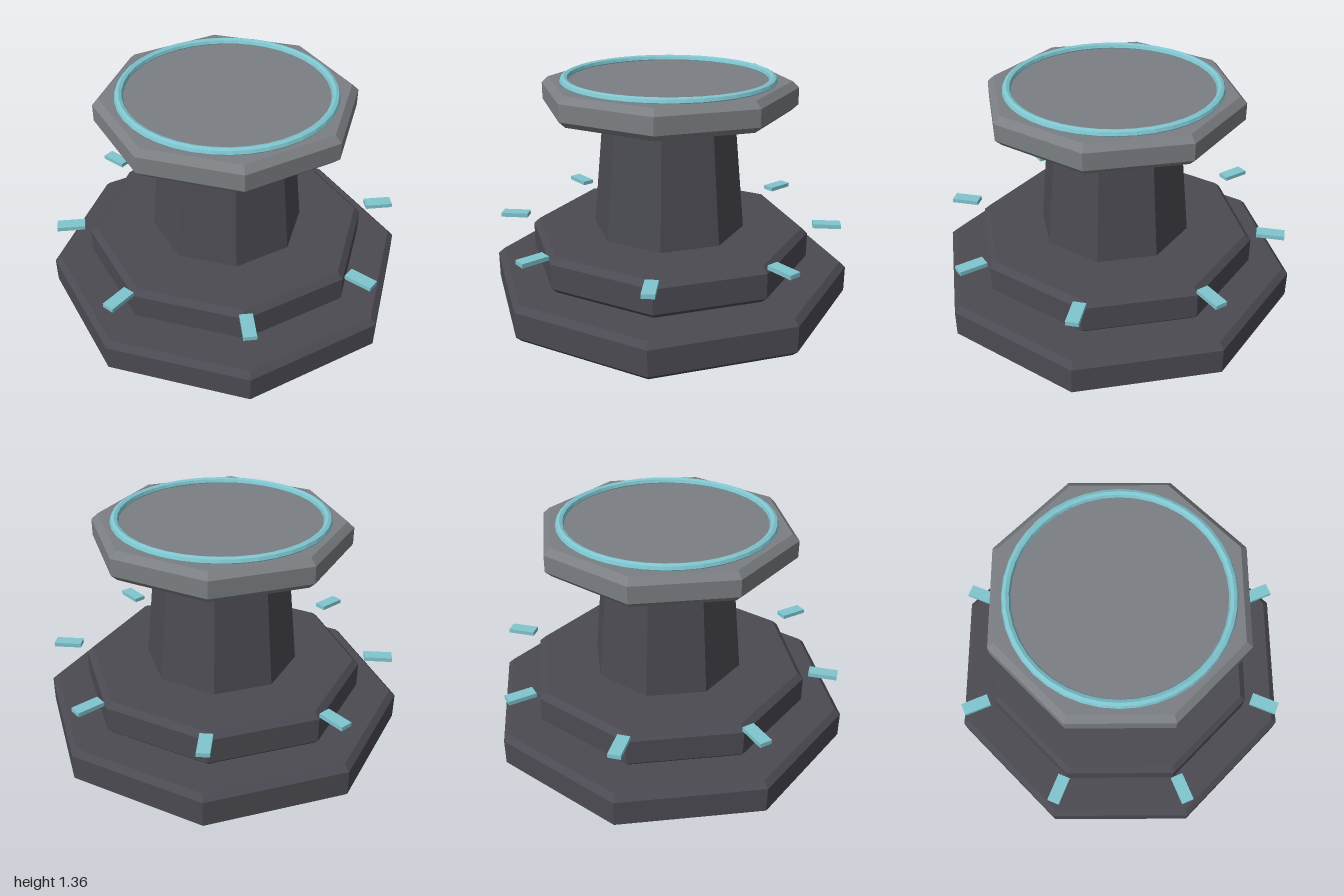
import * as THREE from 'three';

const material = (name, color) => {
  const m = new THREE.MeshStandardMaterial({ color, flatShading: true });
  m.name = name;
  return m;
};

// Octagonal solid with flat sides on the axes; profile is [apothem, y] from bottom to top
function octagon(name, profile, mat) {
  const k = 1 / Math.cos(Math.PI / 8);
  const points = profile.map(([a, y]) => new THREE.Vector2(a * k, y));
  const mesh = new THREE.Mesh(new THREE.LatheGeometry(points, 8, Math.PI / 8), mat);
  mesh.name = name;
  return mesh;
}

// Closed slab with chamfered upper and lower rims
const slab = (a, y0, y1, b) => [
  [0, y0], [a - b, y0], [a, y0 + b], [a, y1 - b], [a - b, y1], [0, y1],
];

export function createModel() {
  const group = new THREE.Group();
  group.name = 'pedestal';
  const darkStone = material('dark stone', 0x4b4a52);
  const greyStone = material('grey stone', 0x7b7e82);
  const glow = material('pale cyan', 0x7fc5cf);

  // Stepped base, tapered column and table top
  group.add(
    octagon('lowerBase', slab(1, 0, 0.22, 0.033), darkStone),
    octagon('upperBase', slab(0.777, 0.22, 0.435, 0.033), darkStone),
    octagon('column', [[0, 0.43], [0.42, 0.43], [0.355, 1.17], [0, 1.17]], darkStone),
    octagon('tableTop', slab(0.69, 1.16, 1.33, 0.036), greyStone),
  );

  // Ring set into the table top
  const ring = new THREE.Mesh(new THREE.TorusGeometry(0.6, 0.025, 8, 40), glow);
  ring.name = 'topRing';
  ring.rotation.x = -Math.PI / 2;
  ring.position.y = 1.335;
  group.add(ring);

  // Eight floating bars, one over each corner of the base
  const barGeometry = new THREE.BoxGeometry(0.165, 0.025, 0.073);
  for (let i = 0; i < 8; i++) {
    const angle = (i + 0.5) * Math.PI / 4;
    const bar = new THREE.Mesh(barGeometry, glow);
    bar.name = `floatingBar${i + 1}`;
    bar.position.set(0.953 * Math.cos(angle), 0.462, 0.953 * Math.sin(angle));
    bar.rotation.y = -angle;
    group.add(bar);
  }
  return group;
}
